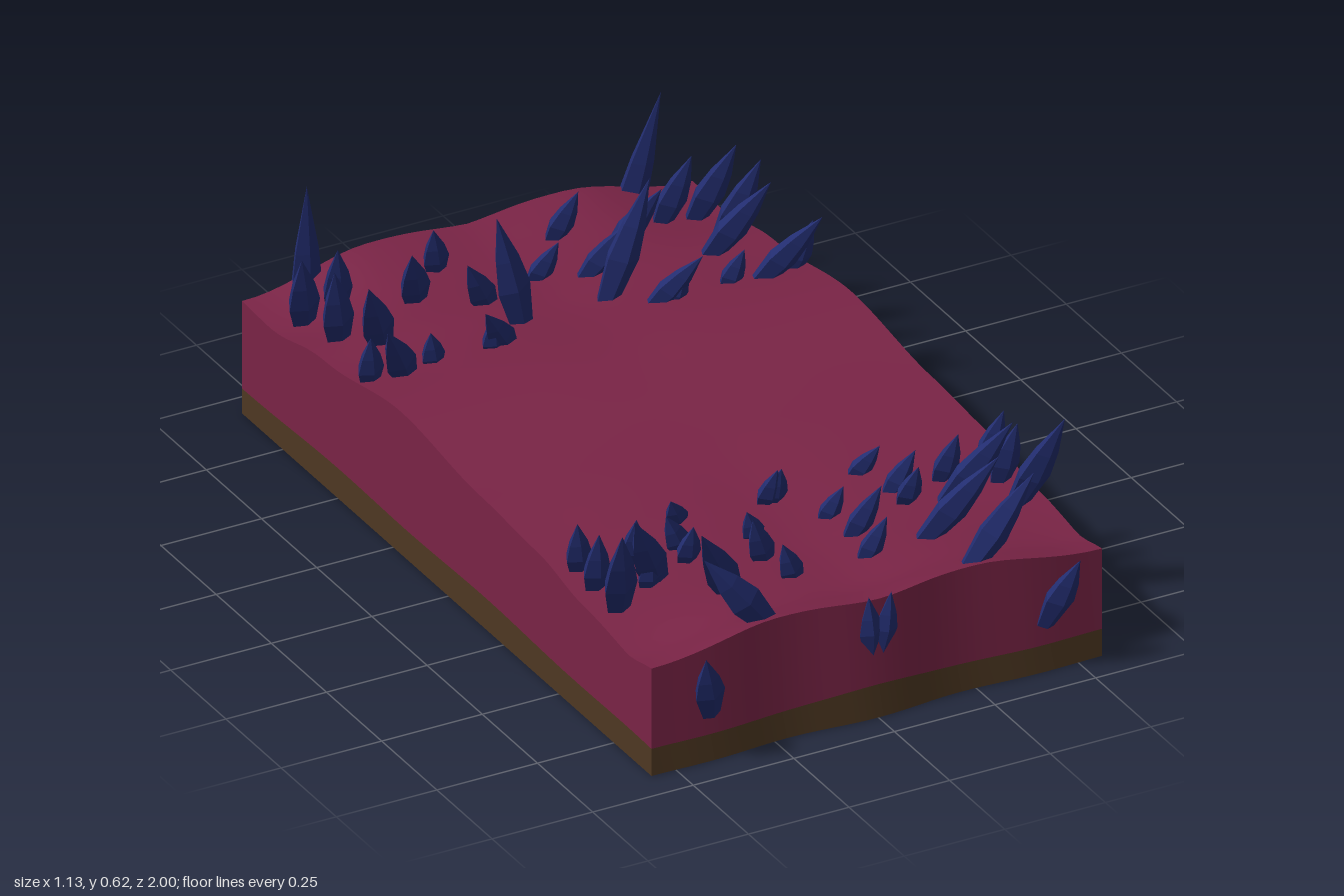
import * as THREE from 'three';

const W = 0.56, BACK = -0.935, FRONT = 0.92;
const smooth = (t) => t * t * (3 - 2 * t);

// Piecewise smooth interpolation through [position, value] pairs
function along(pairs, t) {
  for (let i = 1; i < pairs.length; i++) {
    const [a, va] = pairs[i - 1], [b, vb] = pairs[i];
    if (t <= b) return va + (vb - va) * smooth(Math.max(0, (t - a) / (b - a)));
  }
  return pairs[pairs.length - 1][1];
}

const RIDGE = [[-0.94, 0.335], [-0.75, 0.31], [-0.55, 0.325], [-0.22, 0.355], [0.15, 0.322], [0.4, 0.31], [0.62, 0.278], [0.8, 0.28], [0.93, 0.308]];
const EDGE_DROP = [[-0.94, 0.055], [-0.6, 0.012], [-0.2, 0], [0.6, 0.004], [0.93, 0.04]];

// Ground height, soil line and wavy end faces
const ground = (x, z) => along(RIDGE, z) - along(EDGE_DROP, z) * smooth(Math.max(0, (Math.abs(x) - 0.25) / 0.31))
  - 0.013 * Math.exp(-((x / 0.12) ** 2)) * Math.abs(z);
const soilLine = (x, z) => 0.063 + 0.017 * Math.exp(-((x / 0.14) ** 2)) * Math.abs(z)
  + 0.012 * (1 - z * z) + 0.003 * Math.sin(9 * z);
const zFront = (x) => FRONT + 0.008 * Math.cos(x * 14) * (1 - (x / W) ** 2);
const zBack = (x) => BACK - 0.012 * Math.sin(Math.abs(x) * 8) * (1 - (x / W) ** 2);
const lerp = THREE.MathUtils.lerp;

// Grid surface: u runs right and v runs up as seen from outside
function sheet(nu, nv, f) {
  const pos = [], idx = [];
  for (let j = 0; j <= nv; j++) for (let i = 0; i <= nu; i++) pos.push(...f(i / nu, j / nv));
  for (let j = 0; j < nv; j++) for (let i = 0; i < nu; i++) {
    const a = j * (nu + 1) + i, d = a + nu + 1;
    idx.push(a, a + 1, d, a + 1, d + 1, d);
  }
  const g = new THREE.BufferGeometry();
  g.setAttribute('position', new THREE.Float32BufferAttribute(pos, 3));
  g.setIndex(idx);
  g.computeVertexNormals();
  return g;
}

// Outline of the block on each side, u from left to right seen from outside
const SIDES = {
  front: (u) => { const x = lerp(-W, W, u); return [x, zFront(x)]; },
  back: (u) => { const x = lerp(W, -W, u); return [x, zBack(x)]; },
  left: (u) => [W, lerp(FRONT, BACK, u)],
  right: (u) => [-W, lerp(BACK, FRONT, u)],
};

// Crystals: base x, base z, tip x, tip y, tip z (mirrored to both sides)
const BACK_CRYSTALS = [
  [0.40, -0.80, 0.44, 0.48, -0.72], [0.48, -0.80, 0.54, 0.49, -0.70],
  [0.47, -0.66, 0.53, 0.52, -0.57], [0.40, -0.59, 0.50, 0.52, -0.47],
  [0.43, -0.42, 0.54, 0.50, -0.31], [0.52, -0.43, 0.55, 0.46, -0.37],
  [0.14, -0.82, 0.18, 0.44, -0.76], [0.24, -0.73, 0.31, 0.48, -0.62],
  [0.11, -0.63, 0.20, 0.45, -0.57], [0.10, -0.50, 0.19, 0.62, -0.455],
  [0.17, -0.43, 0.27, 0.45, -0.36], [0.22, -0.42, 0.24, 0.42, -0.38],
  [0.02, -0.69, 0.06, 0.41, -0.63], [0.36, -0.43, 0.39, 0.42, -0.39],
];
const FRONT_CRYSTALS = [
  [0.21, 0.41, 0.26, 0.38, 0.46], [0.25, 0.50, 0.31, 0.39, 0.53],
  [0.50, 0.48, 0.53, 0.43, 0.53], [0.08, 0.52, 0.12, 0.36, 0.55],
  [0.38, 0.50, 0.40, 0.42, 0.56], [0.27, 0.54, 0.28, 0.39, 0.60],
  [0.50, 0.55, 0.52, 0.44, 0.61], [0.10, 0.60, 0.16, 0.40, 0.65],
  [0.35, 0.57, 0.47, 0.49, 0.68], [0.49, 0.64, 0.55, 0.52, 0.77],
  [0.08, 0.70, 0.13, 0.37, 0.73], [0.23, 0.69, 0.37, 0.49, 0.80],
  [0.24, 0.88, 0.41, 0.48, 0.885], [0.01, 0.42, 0.005, 0.40, 0.48],
  [0.39, 0.59, 0.40, 0.38, 0.63],
];

export function createModel() {
  const model = new THREE.Group();
  const turf = new THREE.MeshStandardMaterial({ color: 0x7a2446 });
  turf.name = 'crimson turf';
  const soil = new THREE.MeshStandardMaterial({ color: 0x4e3822 });
  soil.name = 'brown soil';
  const gem = new THREE.MeshStandardMaterial({ color: 0x232e72, flatShading: true });
  gem.name = 'blue crystal';

  const add = (name, geo, mat, parent = model) => {
    const m = new THREE.Mesh(geo, mat);
    m.name = name;
    parent.add(m);
    return m;
  };

  // Rolling top and flat underside
  const plan = (u, t) => { const x = lerp(-W, W, u); return [x, lerp(zBack(x), zFront(x), t)]; };
  add('groundTop', sheet(32, 56, (u, v) => {
    const [x, z] = plan(u, 1 - v);
    return [x, ground(x, z), z];
  }), turf);
  add('underside', sheet(32, 1, (u, v) => {
    const [x, z] = plan(u, v);
    return [x, 0, z];
  }), soil);

  // Side walls in two bands
  for (const [side, outline] of Object.entries(SIDES)) {
    const n = side === 'front' || side === 'back' ? 32 : 56;
    add(side + 'TurfWall', sheet(n, 1, (u, v) => {
      const [x, z] = outline(u);
      return [x, lerp(soilLine(x, z), ground(x, z), v), z];
    }), turf);
    add(side + 'SoilBand', sheet(n, 1, (u, v) => {
      const [x, z] = outline(u);
      return [x, v * soilLine(x, z), z];
    }), soil);
  }

  // Five-sided spear shape, stretched between base and tip
  const spear = new THREE.LatheGeometry(
    [[0, 0], [0.6, 0], [1, 0.4], [0.72, 0.65], [0, 1]].map(([r, y]) => new THREE.Vector2(r, y)), 5);
  const up = new THREE.Vector3(0, 1, 0);
  const crystals = new THREE.Group();
  crystals.name = 'crystals';
  model.add(crystals);
  function crystalPair(name, base, tip, radius) {
    for (const s of [1, -1]) {
      const b = new THREE.Vector3(s * base[0], base[1], base[2]);
      const dir = new THREE.Vector3(s * tip[0], tip[1], tip[2]).sub(b);
      const len = dir.length(), r = radius ?? Math.min(0.042, 0.02 + 0.075 * len);
      const m = add(name, spear, gem, crystals);
      m.position.copy(b);
      m.quaternion.setFromUnitVectors(up, dir.normalize());
      m.scale.set(r, len, r * 0.65);
    }
  }
  const grow = (name, list) => list.forEach(([bx, bz, tx, ty, tz]) =>
    crystalPair(name, [bx, ground(bx, bz) - 0.03, bz], [tx, ty, tz]));
  grow('backCrystal', BACK_CRYSTALS);
  grow('frontCrystal', FRONT_CRYSTALS);

  // Crystals growing out of the end walls
  crystalPair('backSpike', [0.375, 0.04, -0.99], [0.44, 0.57, -0.86], 0.042);
  crystalPair('frontWallCrystal', [0.415, 0.12, 0.925], [0.465, 0.3, 0.995], 0.038);
  crystalPair('frontCentreCrystal', [0.012, 0.155, 0.915], [0.028, 0.31, 0.935], 0.03);
  return model;
}
